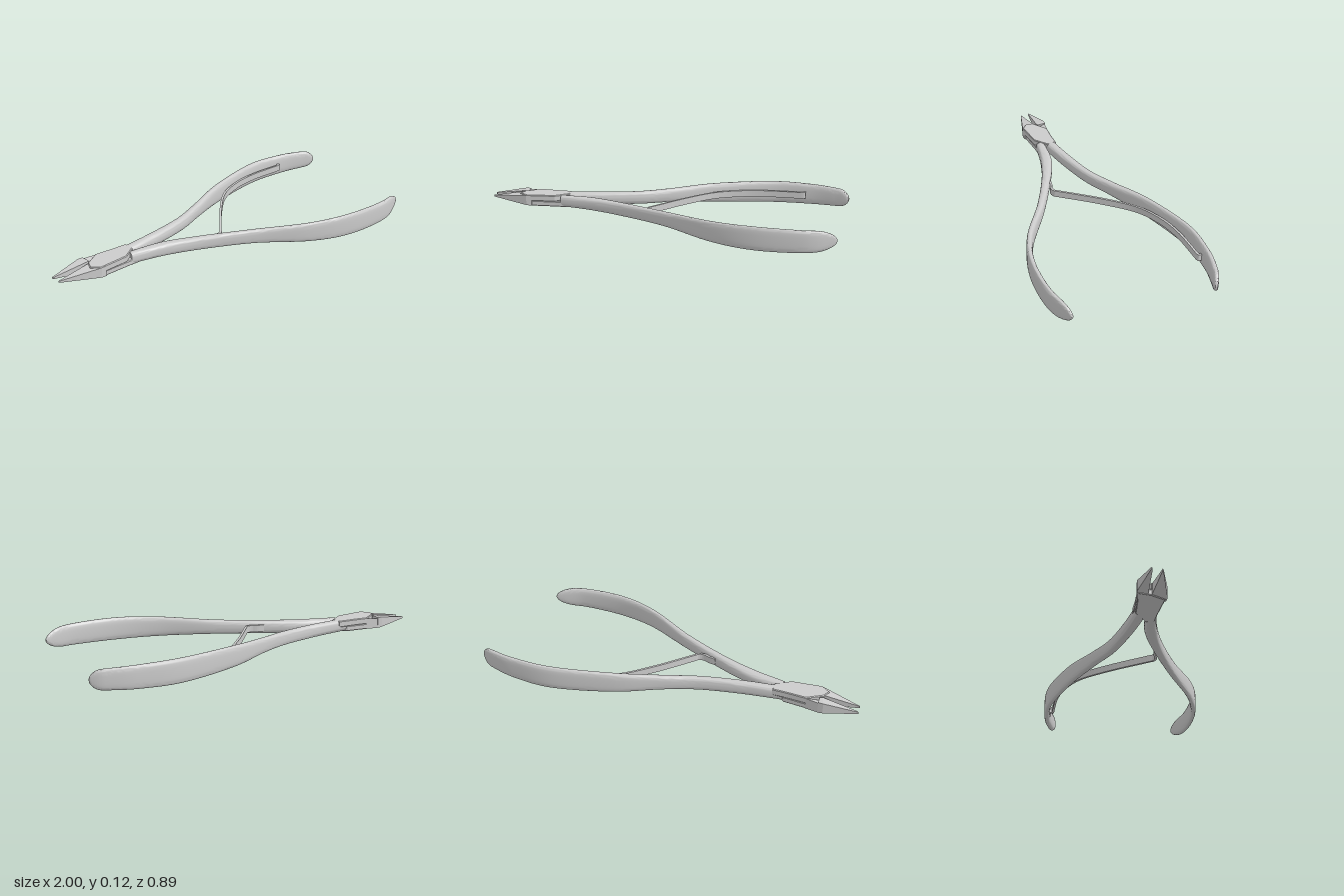
import * as THREE from 'three';
import { toCreasedNormals } from 'three/addons/utils/BufferGeometryUtils.js';
import { ConvexGeometry } from 'three/addons/geometries/ConvexGeometry.js';

const steel = new THREE.MeshStandardMaterial({ color: 0xcccccc, metalness: 0, roughness: 0.6 });

function part(name, geometry) {
  const mesh = new THREE.Mesh(geometry, steel);
  mesh.name = name;
  return mesh;
}

// Sweep a cross-section along rows of [x, z, thickness, yBottom, yTop].
// ring: [u, v] pairs in -1..1, u across the thickness, v up.
function sweep(rows, ring, steps, roundEnd, crease) {
  const path = new THREE.CatmullRomCurve3(rows.map(r => new THREE.Vector3(r[0], r[1], r[2])), false, 'catmullrom');
  const height = new THREE.CatmullRomCurve3(rows.map(r => new THREE.Vector3(r[3], r[4], 0)), false, 'catmullrom');
  const pos = [], index = [], n = ring.length;
  for (let i = 0; i <= steps; i++) {
    // stations crowd together toward the end so a rounded tip stays smooth
    const t = roundEnd ? 1 - Math.pow(1 - i / steps, 1.6) : i / steps;
    const p = path.getPoint(t), h = height.getPoint(t);
    const d = path.getTangent(t).setZ(0).normalize();
    const k = roundEnd ? Math.max(0, (t - 1 + roundEnd) / roundEnd) : 0;
    const shrink = Math.max(0.03, Math.sqrt(1 - k * k));
    const mid = (h.x + h.y) / 2, half = (h.y - h.x) / 2 * shrink;
    const w = p.z / 2 * (0.35 + 0.65 * shrink);
    for (const [u, v] of ring) pos.push(p.x - d.y * u * w, mid + v * half, p.y + d.x * u * w);
  }
  const quad = (a, b, c, d) => index.push(a, b, c, a, c, d);
  for (let i = 0; i < steps; i++) for (let j = 0; j < n; j++) {
    const a = i * n + j, b = i * n + (j + 1) % n;
    quad(a, a + n, b + n, b);
  }
  const last = steps * n;
  for (let j = 1; j < n - 1; j++) index.push(0, j, j + 1, last, last + j + 1, last + j);
  // make the faces point outward whichever way the ring runs
  let area = 0;
  ring.forEach(([u, v], j) => { const q = ring[(j + 1) % n]; area += u * q[1] - q[0] * v; });
  if (area < 0) index.reverse();
  const g = new THREE.BufferGeometry();
  g.setAttribute('position', new THREE.Float32BufferAttribute(pos, 3));
  g.setIndex(index);
  return toCreasedNormals(g, crease);
}

// Handle section: broad flat outer face, softer inner face
function handleRing(outer) {
  const pow = (v, e) => Math.sign(v) * Math.pow(Math.abs(v), e);
  return Array.from({ length: 28 }, (_, i) => {
    const a = i / 28 * Math.PI * 2, c = Math.cos(a);
    return [outer * pow(c, c > 0 ? 0.5 : 0.8), pow(Math.sin(a), 0.7)];
  });
}

// Flat plate from an outline of [x, z] between two heights
function plate(outline, y0, y1) {
  const bevel = 0.004;
  const shape = new THREE.Shape(outline.map(([x, z]) => new THREE.Vector2(x, -z)));
  const g = new THREE.ExtrudeGeometry(shape, {
    depth: y1 - y0 - 2 * bevel, bevelThickness: bevel, bevelSize: bevel, bevelOffset: -bevel, bevelSegments: 1,
  });
  return g.rotateX(-Math.PI / 2).translate(0, y0 + bevel, 0);
}

// Faceted jaw: corners of [x, z, yBottom, yTop]
function jaw(corners) {
  return new ConvexGeometry(corners.flatMap(([x, z, a, b]) =>
    [new THREE.Vector3(x, a, z), new THREE.Vector3(x, b, z)]));
}

export function createModel() {
  const model = new THREE.Group();
  model.name = 'nippers';

  // Long back handle
  model.add(part('backHandle', sweep([
    [-0.64, -0.236, 0.06, 0.026, 0.088],
    [-0.40, -0.243, 0.054, 0.025, 0.092],
    [-0.18, -0.267, 0.047, 0.024, 0.094],
    [0.00, -0.318, 0.043, 0.023, 0.100],
    [0.24, -0.390, 0.038, 0.008, 0.115],
    [0.56, -0.434, 0.035, 0.001, 0.123],
    [0.78, -0.404, 0.034, 0.004, 0.120],
    [0.92, -0.355, 0.033, 0.010, 0.114],
    [0.995, -0.314, 0.026, 0.014, 0.108],
  ], handleRing(-1), 90, 0.1, 0.8)));

  // Shorter front handle
  model.add(part('frontHandle', sweep([
    [-0.60, -0.187, 0.050, 0.026, 0.086],
    [-0.425, -0.134, 0.064, 0.025, 0.091],
    [-0.24, -0.038, 0.050, 0.024, 0.094],
    [0.00, 0.117, 0.040, 0.023, 0.100],
    [0.243, 0.300, 0.033, 0.008, 0.115],
    [0.457, 0.394, 0.032, 0.001, 0.123],
    [0.70, 0.427, 0.032, 0.004, 0.120],
    [0.872, 0.397, 0.026, 0.012, 0.112],
  ], handleRing(1), 90, 0.1, 0.8)));

  // Half-lapped joint: upper plate belongs to the back handle, lower to the front
  model.add(part('upperJointPlate', plate([
    [-0.82, -0.252], [-0.735, -0.297], [-0.64, -0.279], [-0.56, -0.268],
    [-0.56, -0.212], [-0.64, -0.165], [-0.80, -0.168], [-0.84, -0.21],
  ], 0.054, 0.089)));
  model.add(part('lowerJointPlate', plate([
    [-0.815, -0.318], [-0.735, -0.297], [-0.62, -0.272], [-0.55, -0.20],
    [-0.56, -0.158], [-0.64, -0.166], [-0.79, -0.175], [-0.815, -0.25],
  ], 0.025, 0.055)));

  // Pointed cutting jaws
  model.add(part('frontJaw', jaw([
    [-1.0, -0.256, 0.050, 0.060], [-0.995, -0.25, 0.050, 0.060],
    [-0.853, -0.200, 0.034, 0.080], [-0.80, -0.168, 0.030, 0.085],
    [-0.77, -0.168, 0.028, 0.087], [-0.81, -0.248, 0.030, 0.088], [-0.77, -0.24, 0.028, 0.088],
  ])));
  model.add(part('backJaw', jaw([
    [-1.0, -0.308, 0.050, 0.060], [-0.995, -0.301, 0.050, 0.060],
    [-0.826, -0.323, 0.030, 0.086], [-0.80, -0.318, 0.028, 0.086],
    [-0.815, -0.266, 0.030, 0.086], [-0.80, -0.27, 0.028, 0.086],
  ])));
  // Sloping shoulder from the back jaw down under the upper plate
  model.add(part('jawShoulder', jaw([
    [-0.815, -0.320, 0.026, 0.080], [-0.735, -0.297, 0.026, 0.084],
    [-0.815, -0.266, 0.026, 0.068], [-0.79, -0.262, 0.026, 0.062],
  ])));

  // Leaf spring between the handles, with a foot at each end
  const strip = [[-0.21, -0.046], [-0.175, -0.036], [-0.145, -0.020], [-0.112, -0.022], [-0.08, -0.053],
    [0.08, -0.210], [0.24, -0.337], [0.40, -0.390], [0.54, -0.399], [0.66, -0.388],
    [0.74, -0.378], [0.752, -0.385], [0.752, -0.405]];
  model.add(part('spring', sweep(strip.map(([x, z]) => [x, z, 0.012, 0.041, 0.077]),
    [[1, 1], [-1, 1], [-1, -1], [1, -1]], 120, 0, 0.7)));

  return model;
}
